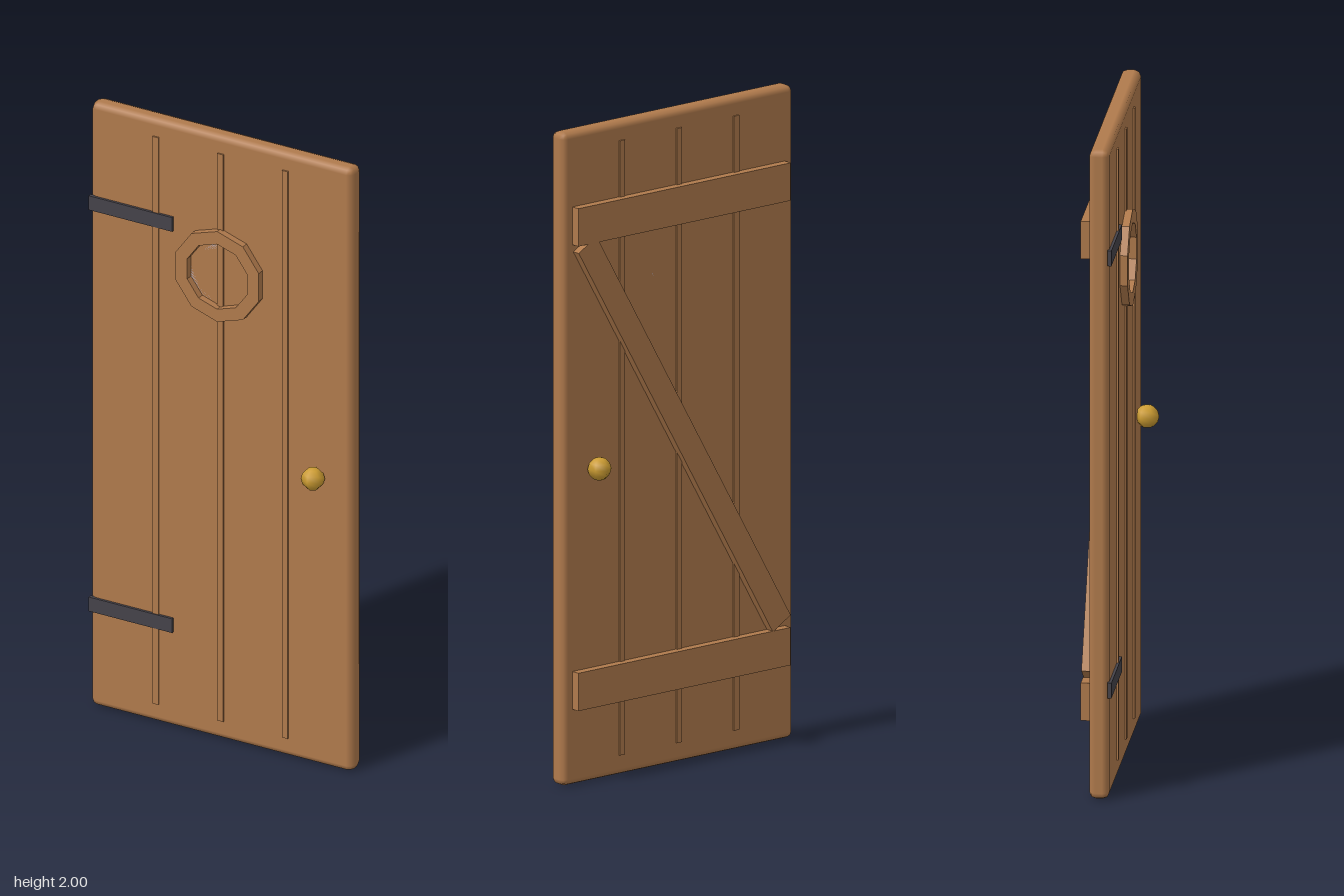
import * as THREE from 'three';
import { RoundedBoxGeometry } from 'three/addons/geometries/RoundedBoxGeometry.js';

const material = (name, color) => {
  const m = new THREE.MeshStandardMaterial({ color });
  m.name = name;
  return m;
};

// Ten-sided outline with a corner at the top
const decagon = (radius) => Array.from({ length: 10 }, (_, i) => {
  const a = Math.PI / 2 + (i * Math.PI) / 5;
  return new THREE.Vector2(radius * Math.cos(a), radius * Math.sin(a));
});

export function createModel() {
  const wood = material('wood', 0xb07a4c);
  const glass = material('glass', 0xbdb6c8);
  const iron = material('iron', 0x45434a);
  const brass = material('brass', 0xcc9c32);

  const door = new THREE.Group();
  door.name = 'door';

  const add = (name, geometry, mat, x, y, z) => {
    const mesh = new THREE.Mesh(geometry, mat);
    mesh.name = name;
    mesh.position.set(x, y, z);
    door.add(mesh);
    return mesh;
  };
  const box = (name, w, h, d, mat, x, y, z) =>
    add(name, new THREE.BoxGeometry(w, h, d), mat, x, y, z);

  // Chamfered slab with soft normals
  add('doorPanel', new RoundedBoxGeometry(0.898, 2.004, 0.06, 1, 0.02), wood, 0, 1, 0);

  // Vertical strips, standing proud on both faces
  for (const x of [-0.222, 0, 0.222]) {
    box('plankStrip', 0.02, 1.885, 0.07, wood, x, 1.003, 0);
  }

  // Round window: frame ring and pane
  const ring = new THREE.Shape(decagon(0.15));
  ring.holes.push(new THREE.Path(decagon(0.108)));
  add('windowFrame', new THREE.ExtrudeGeometry(ring, { depth: 0.081, bevelEnabled: false }),
    wood, 0, 1.546, -0.0285);
  add('windowPane', new THREE.ExtrudeGeometry(new THREE.Shape(decagon(0.109)),
    { depth: 0.06, bevelEnabled: false }), glass, 0, 1.546, -0.03);

  // Hinge straps on the front
  for (const y of [1.671, 0.337]) {
    box('hingeStrap', 0.286, 0.047, 0.012, iron, -0.306, y, 0.032);
  }

  // Crossbars and diagonal brace on the back
  for (const y of [1.715, 0.29]) {
    box('crossbar', 0.826, 0.116, 0.032, wood, 0, y, -0.0415);
  }
  const top = new THREE.Vector2(0.375, 1.655);
  const bottom = new THREE.Vector2(-0.38, 0.365);
  const run = top.clone().sub(bottom);
  const brace = box('diagonalBrace', run.length(), 0.08, 0.03, wood,
    (top.x + bottom.x) / 2, (top.y + bottom.y) / 2, -0.0405);
  brace.rotation.z = run.angle();

  // Knobs on both faces
  for (const side of [1, -1]) {
    const knob = new THREE.SphereGeometry(0.036, 6, 6).rotateY(Math.PI / 2);
    add('knob', knob, brass, 0.332, 0.962, side * 0.059);
  }

  return door;
}
